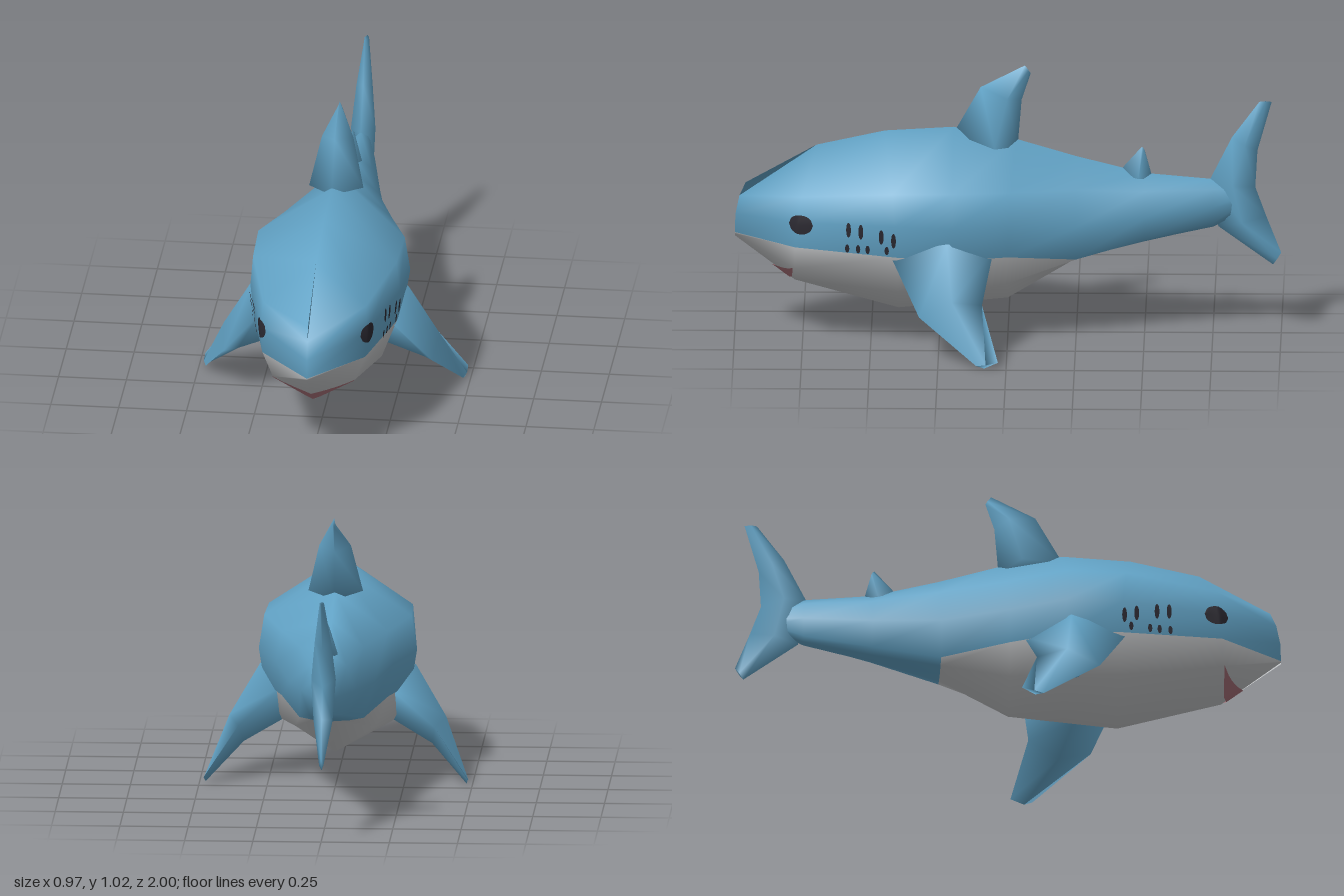
import * as THREE from 'three';
import { mergeVertices } from 'three/addons/utils/BufferGeometryUtils.js';

const makeMaterial = (name, color) => {
  const m = new THREE.MeshStandardMaterial({ color, side: THREE.DoubleSide });
  m.name = name;
  return m;
};

// Smooth skin over a list of closed rings; slot(i, j) picks the material of each quad
function loft(rings, { caps = true, slot = () => 0 } = {}) {
  const n = rings[0].length;
  const p = rings.flat();
  const lists = [[], []];
  for (let i = 0; i < rings.length - 1; i++) {
    for (let j = 0; j < n; j++) {
      const a = i * n + j, b = i * n + (j + 1) % n;
      lists[slot(i, j)].push(a, b, a + n, b, b + n, a + n);
    }
  }
  if (caps) {
    const e = (rings.length - 1) * n;
    for (let j = 1; j < n - 1; j++) lists[0].push(0, j + 1, j, e, e + j, e + j + 1);
  }
  // Turn the skin outward if the rings run the other way
  const v = p.map(q => new THREE.Vector3(...q));
  const all = lists.flat();
  let volume = 0;
  for (let k = 0; k < all.length; k += 3) {
    volume += v[all[k]].dot(v[all[k + 1]].clone().cross(v[all[k + 2]]));
  }
  if (volume < 0) all.reverse();
  let g = new THREE.BufferGeometry();
  g.setAttribute('position', new THREE.Float32BufferAttribute(p.flat(), 3));
  g.setIndex(all);
  if (lists[1].length) {
    const [first, second] = volume < 0 ? [1, 0] : [0, 1];
    g.addGroup(0, lists[first].length, first);
    g.addGroup(lists[first].length, lists[second].length, second);
  }
  g = mergeVertices(g, 1e-5);
  g.computeVertexNormals();
  return g;
}

// Body ring: the back leans along z, the widths follow from half width and fullness
function bodyRing([z, lean, top, shoulder, line, jowl, keel, w, full]) {
  const half = [
    [0, top],
    [w * full, shoulder],
    [w, (shoulder + line) / 2],
    [w * full, line],
    [w * (1.6 * full - .78), jowl],
    [0, keel],
  ].map(([x, y]) => [x, y, z + lean * ((y - keel) / (top - keel)) ** 3]);
  return [...half, ...half.slice(1, 5).reverse().map(([x, y, pz]) => [-x, y, pz])];
}

// Upright fin: rows of [lead z, lead y, trail z, trail y, half thickness]
const finRings = (rows, bias) => rows.map(([lz, ly, tz, ty, t]) => {
  const mz = lz + (tz - lz) * bias, my = ly + (ty - ly) * bias;
  return [[0, ly, lz], [t, my, mz], [0, ty, tz], [-t, my, mz]];
});

export function createModel() {
  const blue = makeMaterial('blue skin', 0x62a3c6);
  const white = makeMaterial('pale belly', 0xc2c4c6);
  const pink = makeMaterial('mouth pink', 0xa87078);
  const dark = makeMaterial('dark markings', 0x2a2830);

  const shark = new THREE.Group();
  shark.name = 'shark';
  const add = (name, geometry, material) => {
    const mesh = new THREE.Mesh(geometry, material);
    mesh.name = name;
    shark.add(mesh);
    return mesh;
  };

  // Body from nose to tail: z, lean, top, shoulder, colour line, jowl, keel, half width, fullness
  const body = add('body', loft([
    [1, -.04, .57, .52, .38, .374, .368, 0, 1],
    [.78, -.08, .715, .57, .378, .285, .2, .195, .97],
    [.4, .05, .77, .602, .362, .215, .095, .275, .96],
    [.2, 0, .785, .605, .352, .215, .115, .29, .93],
    [0, -.03, .74, .59, .345, .23, .135, .215, .91],
    [-.25, 0, .675, .58, .315, .305, .3, .155, .76],
    [-.5, 0, .612, .56, .375, .36, .353, .1, .68],
    [-.75, 0, .59, .56, .43, .415, .408, .05, .68],
    [-.86, 0, .55, .53, .48, .465, .46, .015, .68],
  ].map(bodyRing), {
    caps: false,
    slot: (i, j) => (i < 5 && j >= 3 && j <= 6 ? 1 : 0),
  }), [blue, white]);

  // Fins along the centre line
  add('dorsalFin', loft(finRings([
    [.2, .76, -.035, .71, .1],
    [.1, .937, -.05, .89, .058],
    [-.062, 1.02, -.083, .99, .005],
  ], .65)), blue);
  add('secondDorsalFin', loft(finRings([
    [-.4, .61, -.53, .59, .035],
    [-.49, .712, -.5, .7, .004],
  ], .6)), blue);
  add('tailFin', loft(finRings([
    [-.97, .265, -1, .31, .008],
    [-.77, .41, -.945, .45, .035],
    [-.74, .59, -.905, .56, .045],
    [-.82, .75, -.913, .7, .03],
    [-.92, .885, -.965, .885, .008],
  ], .5)), blue);

  // Side fins: leading edge, upper ridge, trailing edge, lower ridge
  const sideFin = [
    [[.24, .37, .43], [.285, .42, .22], [.19, .37, .05], [.195, .21, .25]],
    [[.385, .17, .32], [.397, .23, .2], [.36, .21, .09], [.345, .13, .2]],
    [[.474, .012, .11], [.485, .018, .075], [.484, .028, .03], [.478, .004, .08]],
  ];
  for (const s of [1, -1]) {
    add(s > 0 ? 'leftSideFin' : 'rightSideFin',
      loft(sideFin.map(r => r.map(([x, y, z]) => [s * x, y, z]))), blue);
  }

  // Thin painted patch laid on the body; u runs along z (sides) or x (front)
  const ray = new THREE.Raycaster();
  function patch(name, material, u0, u1, low, high, side) {
    const cols = 12, rows = 4, pts = [], idx = [];
    const dir = side ? new THREE.Vector3(-side, 0, 0) : new THREE.Vector3(0, 0, -1);
    for (let i = 0; i <= cols; i++) {
      const u = u0 + (u1 - u0) * i / cols;
      for (let j = 0; j <= rows; j++) {
        const y = low(u) + (high(u) - low(u)) * j / rows;
        ray.set(side ? new THREE.Vector3(2 * side, y, u) : new THREE.Vector3(u, y, 2), dir);
        const q = ray.intersectObject(body)[0].point.addScaledVector(dir, -.006);
        pts.push(q.x, q.y, q.z);
        if (i < cols && j < rows) {
          const a = i * (rows + 1) + j, b = a + rows + 1;
          if (side > 0) idx.push(a, a + 1, b, b, a + 1, b + 1);
          else idx.push(a, b, a + 1, b, b + 1, a + 1);
        }
      }
    }
    const g = new THREE.BufferGeometry();
    g.setAttribute('position', new THREE.Float32BufferAttribute(pts, 3));
    g.setIndex(idx);
    g.computeVertexNormals();
    add(name, g, material);
  }
  const oval = (name, z, y, rz, ry, side) => {
    const h = u => ry * Math.sqrt(Math.max(0, 1 - ((u - z) / rz) ** 2));
    patch(name, dark, z - rz, z + rz, u => y - h(u), u => y + h(u), side);
  };

  // Mouth, eyes and two rows of gill marks
  patch('mouth', pink, -.15, .15,
    x => Math.max(.21, .204 + .54 * Math.abs(x)),
    x => .258 + .03 * (x / .15) ** 2, 0);
  for (const s of [1, -1]) {
    oval('eye', .755, .467, .044, .036, s);
    [[.58, .46], [.535, .455], [.46, .44], [.415, .428]].forEach(([z, y]) =>
      oval('gillMark', z, y, .009, .028, s));
    [.585, .545, .51, .44].forEach(z => oval('gillMark', z, .388, .008, .016, s));
  }
  return shark;
}
